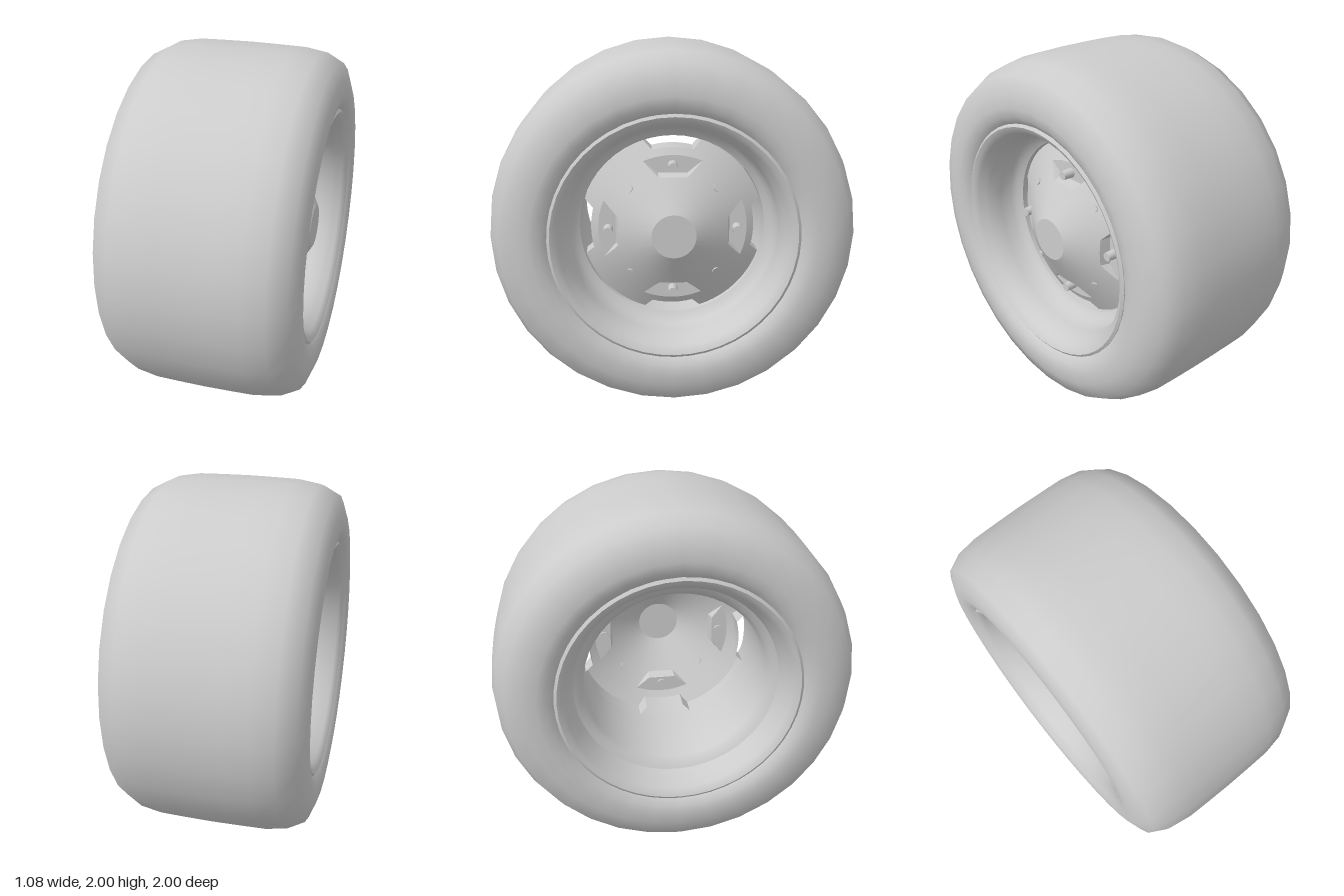
import * as THREE from 'three';
import { toCreasedNormals } from 'three/addons/utils/BufferGeometryUtils.js';

const material = new THREE.MeshStandardMaterial({ color: 0xcccccc, side: THREE.DoubleSide });
const rad = THREE.MathUtils.degToRad;

function addMesh(parent, name, geometry) {
  const mesh = new THREE.Mesh(geometry, material);
  mesh.name = name;
  parent.add(mesh);
  return mesh;
}

// Revolve [radius, x] points about the x axis
function revolve(profile, segments, crease) {
  const points = profile.map(([r, x]) => new THREE.Vector2(r, x));
  const geometry = new THREE.LatheGeometry(points, segments).rotateZ(-Math.PI / 2);
  return toCreasedNormals(geometry, crease);
}

const coneX = (r) => 0.44 - 0.57 * (r - 0.12);
const POCKET_OUT = 0.41;

// Inner edge of the bolt pocket at an angle from the pocket's centre line
function pocketRadius(a) {
  if (a < 14.9) return 0.3 / Math.cos(rad(a));
  if (a < 23) return 0.232 / (1.04 * Math.cos(rad(a)) - Math.sin(rad(a)));
  return POCKET_OUT;
}

// Outer edge of the disc, notched for the vent slots
const edgeRadius = (a) => (a < 14.6 ? 0.45 : a < 18 ? 0.47 : 0.506);

// Conical disc with four sunken pockets, four notches and a rear skirt
function discGeometry() {
  const half = [0, 5, 10, 14.5, 18, 23, 28, 33, 39];
  const sector = [-45, ...half.slice(1).reverse().map((a) => -a), ...half];
  const angles = [0, 90, 180, 270].flatMap((q) => sector.map((a) => [q + a, Math.abs(a)]));
  const positions = [];
  const index = [];
  const rings = 7;
  for (const [angle, a] of angles) {
    const p = pocketRadius(a);
    const edge = edgeRadius(a);
    const section = [
      [0, 0.44], [0.12, 0.44], [p, coneX(p)],
      [Math.min(p + 0.014, POCKET_OUT), coneX(POCKET_OUT)],
      [POCKET_OUT, coneX(POCKET_OUT)], [edge, coneX(edge)], [edge, 0.12],
    ];
    for (const [r, x] of section) {
      positions.push(x, r * Math.cos(rad(angle)), r * Math.sin(rad(angle)));
    }
  }
  const vertex = (i) => new THREE.Vector3().fromArray(positions, i * 3);
  const addFace = (...f) => {
    const triangle = new THREE.Triangle(...f.map(vertex));
    if (triangle.getArea() > 1e-8) index.push(...f);
  };
  for (let j = 0; j < angles.length; j++) {
    const next = (j + 1) % angles.length;
    for (let k = 0; k < rings - 1; k++) {
      const a = j * rings + k;
      const b = next * rings + k;
      addFace(a, a + 1, b + 1);
      addFace(a, b + 1, b);
    }
  }
  const geometry = new THREE.BufferGeometry();
  geometry.setAttribute('position', new THREE.Float32BufferAttribute(positions, 3));
  geometry.setIndex(index);
  return toCreasedNormals(geometry, 0.35);
}

export function createModel() {
  const group = new THREE.Group();
  group.name = 'wheel';
  const wheel = new THREE.Group();
  wheel.name = 'wheelAssembly';
  wheel.position.y = 1;
  group.add(wheel);

  // Wide rounded tyre, mirrored about its middle
  const tyreSide = [
    [0.998, 0.15], [0.995, 0.28], [0.975, 0.4], [0.925, 0.495], [0.83, 0.53],
    [0.76, 0.538], [0.71, 0.53], [0.675, 0.505], [0.64, 0.465],
  ];
  const mirrored = tyreSide.map(([r, x]) => [r, -x]).reverse();
  addMesh(wheel, 'tyre', revolve([...mirrored, [1, 0], ...tyreSide], 32, 0.9));

  // Rim barrel with a rolled lip at each end
  const lip = [[0.64, 0.465], [0.668, 0.475], [0.67, 0.505], [0.655, 0.515], [0.635, 0.505], [0.615, 0.485]];
  const barrel = [
    ...lip, [0.6, 0.45], [0.585, 0.43], [0.575, 0.36], [0.565, 0.29], [0.545, 0.26], [0.512, 0.24],
    [0.508, 0.1], [0.508, -0.32], [0.53, -0.35], [0.565, -0.37], [0.585, -0.43], [0.6, -0.45],
    ...lip.map(([r, x]) => [r, -x]).reverse(),
  ];
  addMesh(wheel, 'rim', revolve(barrel, 48, 0.65));

  addMesh(wheel, 'disc', discGeometry());

  for (let i = 0; i < 4; i++) {
    const quarter = new THREE.Group();
    quarter.name = 'fasteners' + (i + 1);
    quarter.rotation.x = (i * Math.PI) / 2;
    wheel.add(quarter);

    // Bolt standing in the pocket
    const bolt = addMesh(quarter, 'bolt', new THREE.CylinderGeometry(0.025, 0.028, 0.075, 12));
    bolt.rotation.z = -Math.PI / 2;
    bolt.position.set(0.3, 0.355, 0);

    // Small plug set flush in the cone between pockets
    const diagonal = new THREE.Group();
    diagonal.name = 'plugMount';
    diagonal.rotation.x = Math.PI / 4;
    quarter.add(diagonal);
    const plug = addMesh(diagonal, 'plug', new THREE.CylinderGeometry(0.02, 0.02, 0.014, 12));
    plug.rotation.z = -Math.PI / 2 + Math.atan(0.57);
    plug.position.set(coneX(0.334), 0.334, 0);
  }
  return group;
}
